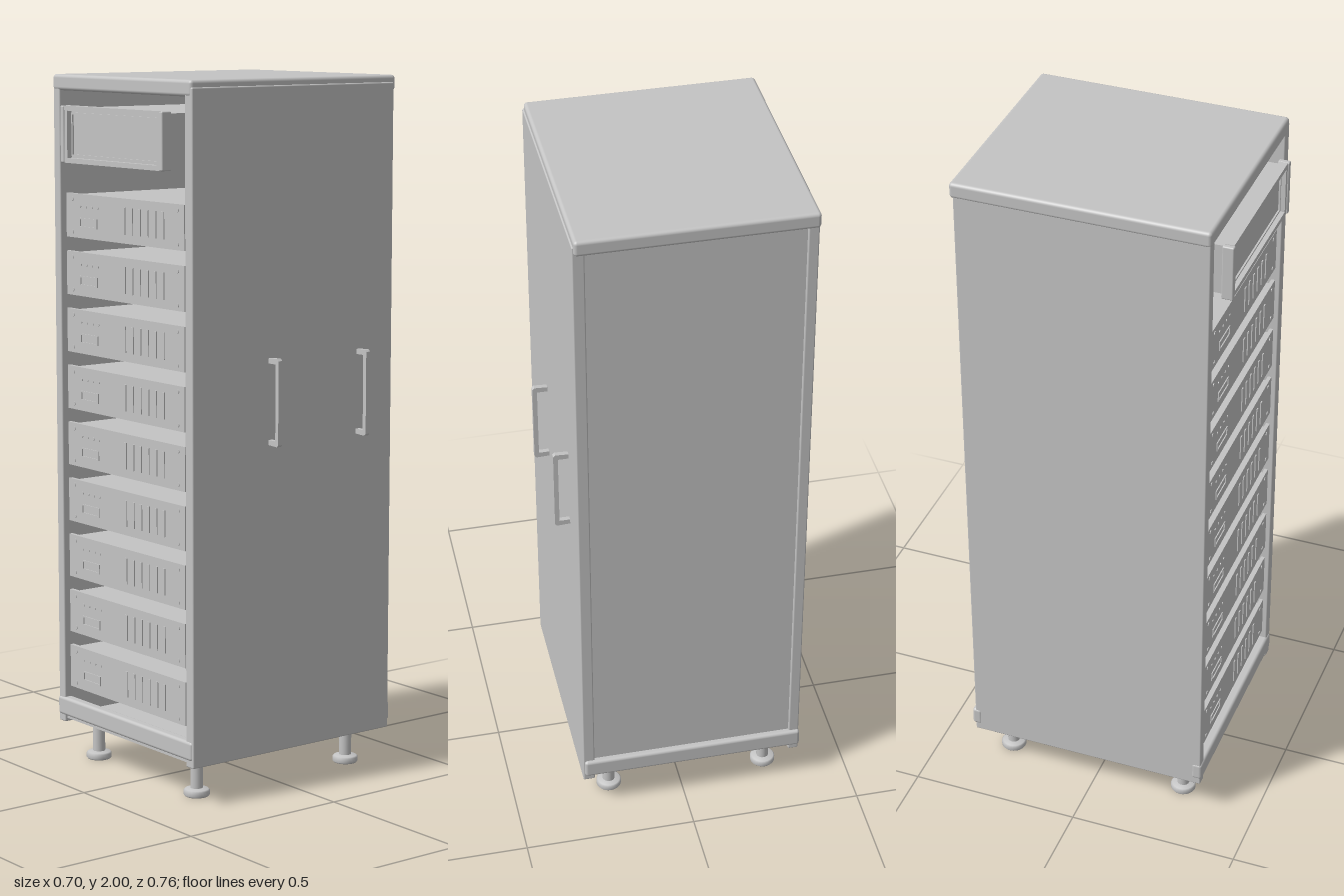
import * as THREE from 'three';
import { RoundedBoxGeometry } from 'three/addons/geometries/RoundedBoxGeometry.js';

const grey = new THREE.MeshStandardMaterial({ color: 0xc4c4c4 });
grey.name = 'light grey metal';

function add(parent, name, geometry, x = 0, y = 0, z = 0) {
  const mesh = new THREE.Mesh(geometry, grey);
  mesh.name = name;
  mesh.position.set(x, y, z);
  parent.add(mesh);
  return mesh;
}

// Box given by its limits on each axis; a radius rounds the edges
function box(parent, name, [x0, x1], [y0, y1], [z0, z1], radius = 0) {
  const s = [x1 - x0, y1 - y0, z1 - z0];
  const g = radius ? new RoundedBoxGeometry(...s, 3, radius) : new THREE.BoxGeometry(...s);
  return add(parent, name, g, (x0 + x1) / 2, (y0 + y1) / 2, (z0 + z1) / 2);
}

function group(parent, name) {
  const g = new THREE.Group();
  g.name = name;
  parent.add(g);
  return g;
}

// Rectangular frame facing +z
function frameGeometry(w, h, border, depth) {
  const rect = (T, a, b) => {
    const p = new T();
    p.moveTo(-a, -b); p.lineTo(a, -b); p.lineTo(a, b); p.lineTo(-a, b); p.closePath();
    return p;
  };
  const shape = rect(THREE.Shape, w / 2, h / 2);
  shape.holes.push(rect(THREE.Path, w / 2 - border, h / 2 - border));
  return new THREE.ExtrudeGeometry(shape, { depth, bevelEnabled: false });
}

function makeCabinet(root) {
  const c = group(root, 'cabinet');
  box(c, 'topCover', [-0.35, 0.3], [1.955, 2], [-0.38, 0.345], 0.01);
  box(c, 'rightSidePanel', [-0.348, -0.318], [0.11, 1.98], [-0.37, 0.343], 0.004);
  box(c, 'leftSidePanel', [0.27, 0.304], [0.11, 1.98], [-0.37, 0.343], 0.004);
  box(c, 'backPanel', [-0.32, 0.272], [0.12, 1.97], [-0.362, -0.35]);
  box(c, 'floor', [-0.32, 0.272], [0.12, 0.135], [-0.362, 0.335]);
  box(c, 'frontSill', [-0.35, 0.3], [0.13, 0.185], [0.315, 0.347], 0.009);
  box(c, 'backSill', [-0.35, 0.3], [0.13, 0.185], [-0.38, -0.35], 0.009);
}

// Levelling feet: pad, collar and threaded post
function makeFeet(root) {
  for (const x of [-0.262, 0.213]) for (const z of [0.262, -0.285]) {
    const foot = group(root, 'levellingFoot');
    foot.position.set(x, 0, z);
    const profile = [[0, 0], [0.034, 0], [0.037, 0.004], [0.037, 0.016], [0.033, 0.02], [0.018, 0.023]];
    add(foot, 'footPad', new THREE.LatheGeometry(profile.map(p => new THREE.Vector2(...p)), 24));
    add(foot, 'footPost', new THREE.CylinderGeometry(0.018, 0.018, 0.105, 20), 0, 0.0725, 0);
  }
}

// Rack unit with a recess behind its front plate
function makeUnit(root, y) {
  const u = group(root, 'rackUnit');
  u.position.y = y;
  const front = 0.333;
  box(u, 'chassis', [-0.285, 0.24], [0.004, 0.121], [-0.28, 0.325]);
  box(u, 'facePlate', [-0.302, 0.255], [0, 0.125], [0.322, front]);
  const label = add(u, 'labelFrame', frameGeometry(0.085, 0.028, 0.004, 0.004), -0.192, 0.044, front);
  label.position.z = front - 0.001;
  // Corner screws
  for (const x of [-0.272, 0.225]) for (const sy of [0.016, 0.109]) {
    const screw = add(u, 'screw', new THREE.CylinderGeometry(0.006, 0.006, 0.004, 12), x, sy, front);
    screw.rotation.x = Math.PI / 2;
  }
  // Indicator buttons
  for (let i = 0; i < 4; i++) {
    const button = add(u, 'indicator', new THREE.CylinderGeometry(0.004, 0.004, 0.004, 10), -0.232 + i * 0.028, 0.09, front);
    button.rotation.x = Math.PI / 2;
  }
  // Vent ribs
  for (let i = 0; i < 6; i++) {
    const x = -0.025 + i * 0.036;
    box(u, 'ventRib', [x, x + 0.01], [0.025, 0.1], [front - 0.001, front + 0.003]);
  }
}

// Display drawer protruding from the cabinet front
function makeDisplay(root) {
  const d = group(root, 'displayUnit');
  box(d, 'displayBody', [-0.25, 0.2], [1.762, 1.908], [-0.05, 0.358]);
  add(d, 'displayBezel', frameGeometry(0.45, 0.16, 0.014, 0.026), -0.025, 1.835, 0.348);
  add(d, 'screenTrim', frameGeometry(0.412, 0.122, 0.005, 0.006), -0.025, 1.835, 0.357);
  for (const x of [-0.265, 0.2])
    box(d, 'bezelEnd', [x, x + 0.016], [1.755, 1.915], [0.345, 0.378], 0.004);
}

// Pull handles on the left side panel
function makeHandles(root) {
  const s = new THREE.Shape();
  const outline = [[0.3, 0.992], [0.341, 0.99], [0.347, 0.996], [0.347, 1.23], [0.341, 1.236], [0.3, 1.234],
    [0.3, 1.22], [0.334, 1.22], [0.334, 1.006], [0.3, 1.006]];
  s.setFromPoints(outline.map(p => new THREE.Vector2(...p)));
  for (const z of [0.073, -0.245]) {
    const g = new THREE.ExtrudeGeometry(s, { depth: 0.014, bevelEnabled: false });
    add(root, 'pullHandle', g, 0, 0, z - 0.007);
  }
}

export function createModel() {
  const root = new THREE.Group();
  root.name = 'equipmentRack';
  makeCabinet(root);
  makeFeet(root);
  for (let i = 0; i < 9; i++) makeUnit(root, 0.221 + i * 0.165);
  makeDisplay(root);
  makeHandles(root);
  return root;
}
